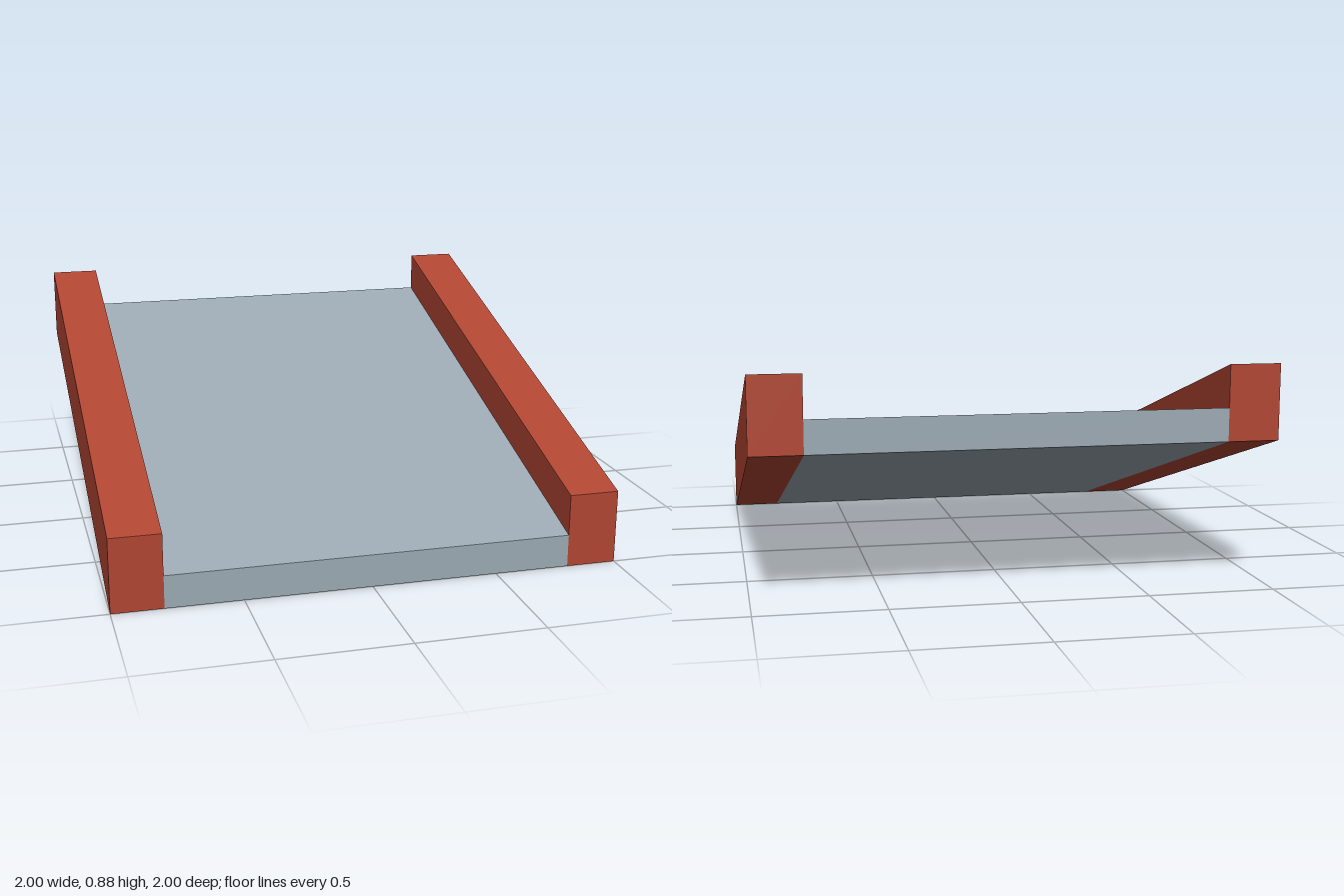
import * as THREE from 'three';

const RISE = 0.585; // height gained from front to back

// Box standing on the slope: vertical ends, sheared upward towards the back
function slopedBox(name, width, height, x, material) {
  const geometry = new THREE.BoxGeometry(width, height, 2);
  geometry.translate(x, height / 2, 0);
  const p = geometry.attributes.position;
  for (let i = 0; i < p.count; i++) {
    p.setY(i, p.getY(i) + RISE * (1 - p.getZ(i)) / 2);
  }
  geometry.computeVertexNormals();
  const mesh = new THREE.Mesh(geometry, material);
  mesh.name = name;
  return mesh;
}

export function createModel() {
  const group = new THREE.Group();
  group.name = 'slopedRamp';
  const deckMaterial = new THREE.MeshStandardMaterial({ color: 0x9ba9b2 });
  const railMaterial = new THREE.MeshStandardMaterial({ color: 0xb04532 });

  // Thin deck between the rails
  group.add(slopedBox('deck', 1.6, 0.13, 0, deckMaterial));

  // Tall curb rail along each side
  for (const [name, side] of [['leftRail', 1], ['rightRail', -1]]) {
    group.add(slopedBox(name, 0.2, 0.295, side * 0.9, railMaterial));
  }
  return group;
}
